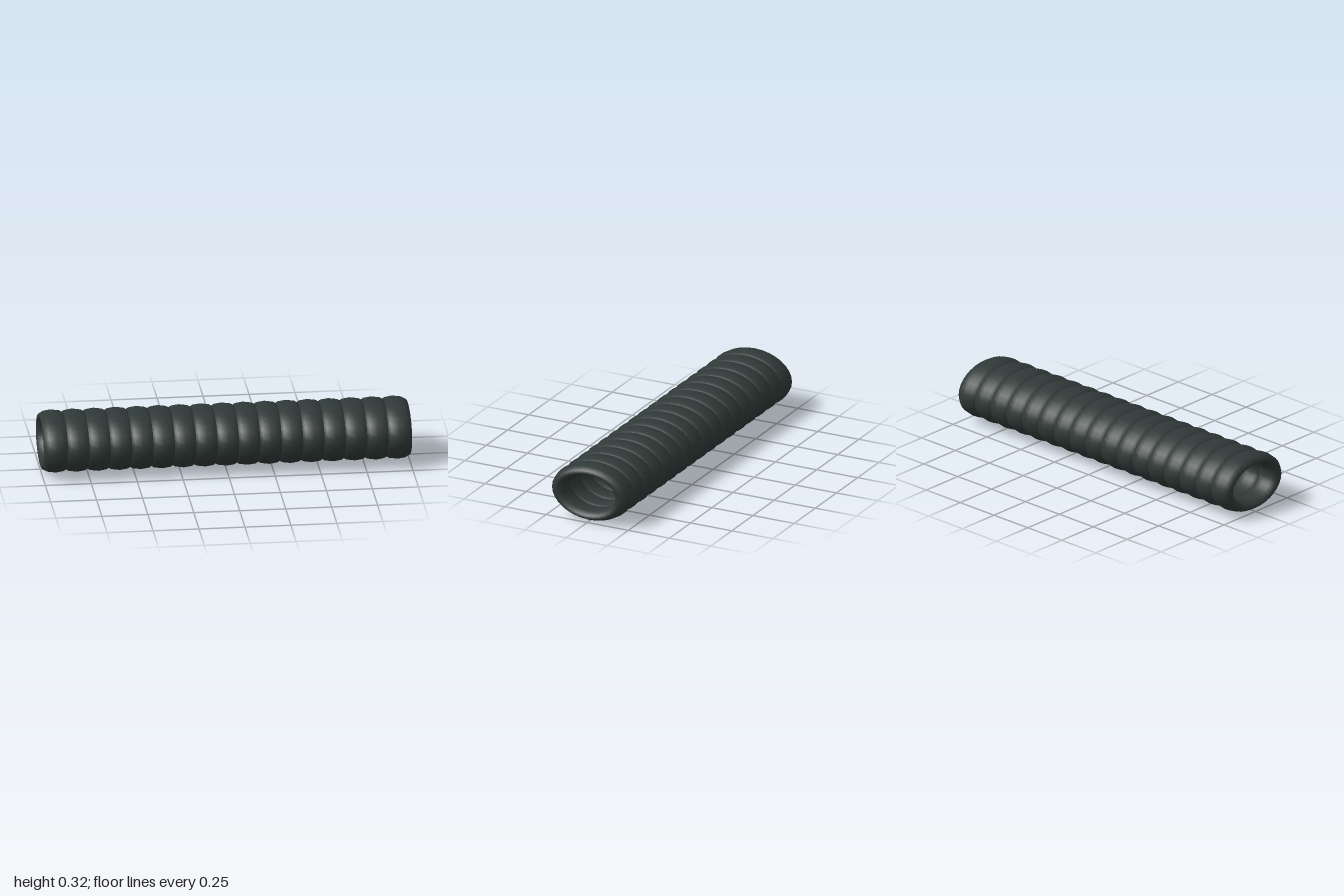
import * as THREE from 'three';

const RINGS = 17;
const END_CENTRE = 0.93; // x of the outermost ring centres
const TUBE_RATIO = 0.235; // tube radius relative to ring radius

export function createModel() {
  const model = new THREE.Group();
  model.name = 'ribbedTube';

  const rubber = new THREE.MeshStandardMaterial({ color: 0x2f3937 });
  rubber.name = 'darkRubber';

  // One oval ring around the x axis: stretched along x, flattened in y
  const ring = new THREE.TorusGeometry(1, TUBE_RATIO, 10, 32);
  ring.rotateY(Math.PI / 2);
  const halfWidth = TUBE_RATIO * Math.sin(THREE.MathUtils.degToRad(72));
  ring.scale((1 - END_CENTRE) / halfWidth, 0.1295, 0.1916);

  // Overlapping rings in a row form the hose
  for (let i = 0; i < RINGS; i++) {
    const mesh = new THREE.Mesh(ring, rubber);
    mesh.name = `ring${i + 1}`;
    mesh.position.set(END_CENTRE * ((2 * i) / (RINGS - 1) - 1), 0.16, 0);
    model.add(mesh);
  }
  return model;
}
